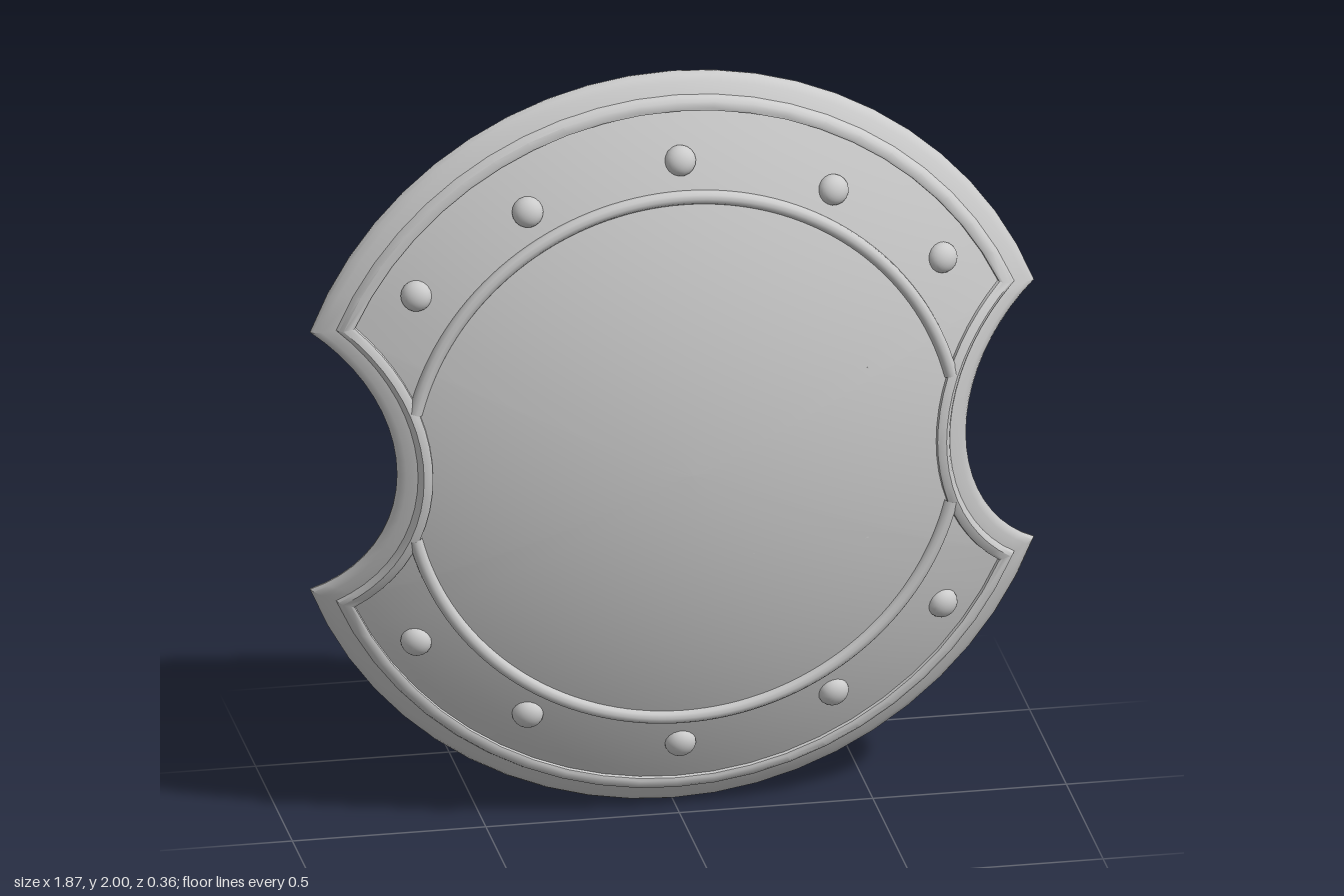
import * as THREE from 'three';
import { toCreasedNormals } from 'three/addons/utils/BufferGeometryUtils.js';

const DOME_R = 2, APEX = 0.18, SHELL = 0.02;
const NOTCH_X = 1.147, NOTCH_R = 0.412;
const mat = new THREE.MeshStandardMaterial({ color: 0xcccccc, roughness: 0.7 });

// height of the domed face at a point
const dome = (x, y) => APEX - DOME_R + Math.sqrt(DOME_R ** 2 - x * x - y * y);

function add(parent, name, geometry) {
  const mesh = new THREE.Mesh(geometry, mat);
  mesh.name = name;
  parent.add(mesh);
  return mesh;
}

// unit disc with a round bite on each side, moved inward by inset (counter-clockwise)
function outline(inset) {
  const R = 1 - inset, r = NOTCH_R + inset;
  const hx = (R * R - r * r + NOTCH_X ** 2) / (2 * NOTCH_X);
  const hy = Math.sqrt(R * R - hx * hx);
  const bite = Math.asin(hy / r), start = Math.atan2(hy, hx);
  const half = [], nBite = 20, nArc = 22;
  for (let i = 0; i < nBite; i++) {
    const a = bite * (2 * i / nBite - 1);
    half.push([NOTCH_X - r * Math.cos(a), r * Math.sin(a)]);
  }
  for (let i = 0; i < nArc; i++) {
    const a = start + (Math.PI - 2 * start) * i / nArc;
    half.push([R * Math.cos(a), R * Math.sin(a)]);
  }
  return [...half, ...half.map(([x, y]) => [-x, -y])];
}

// skin between closed rings of points
function loft(rings) {
  const n = rings[0].length, index = [];
  for (let k = 0; k < rings.length - 1; k++) {
    for (let i = 0; i < n; i++) {
      const j = (i + 1) % n, a = k * n, b = a + n;
      index.push(a + i, a + j, b + i, a + j, b + j, b + i);
    }
  }
  const g = new THREE.BufferGeometry();
  g.setAttribute('position', new THREE.Float32BufferAttribute(rings.flat(2), 3));
  g.setIndex(index);
  g.computeVertexNormals();
  return g;
}

// domed sheet following the outline, offset in z
function sheet(inset, offset, front) {
  const edge = outline(inset), rings = [], steps = 18;
  for (let k = 0; k <= steps; k++) {
    const t = front ? 1 - k / steps : k / steps;
    rings.push(edge.map(([x, y]) => [x * t, y * t, dome(x * t, y * t) + offset]));
  }
  return loft(rings);
}

// domed stud whose base is at the origin, rising along +z
function stud(radius, height) {
  const g = new THREE.SphereGeometry(radius, 18, 8, 0, Math.PI * 2, 0, Math.PI / 2);
  return g.rotateX(Math.PI / 2).scale(1, 1, height / radius);
}

// curved strap with a riveted flange at both ends, standing on the inner face
function strap(name, { x, width, halfY, depth, flangeY, round, rivets, rivetR }) {
  const g = new THREE.Group();
  g.name = name;
  g.position.set(x, 0, dome(x, 0) - SHELL);
  g.rotation.y = Math.asin(x / DOME_R);

  const thick = 0.018, s = new THREE.Shape();
  s.absellipse(0, 0, depth, halfY, -Math.PI / 2, Math.PI / 2, false);
  s.lineTo(0, halfY - thick);
  s.absellipse(0, 0, depth - thick, halfY - thick, Math.PI / 2, -Math.PI / 2, true);
  const bow = new THREE.ExtrudeGeometry(s, { depth: width, bevelEnabled: false, curveSegments: 32 });
  bow.translate(0, 0, -width / 2).rotateY(Math.PI / 2);
  add(g, name + 'Bow', toCreasedNormals(bow, 0.6));

  // flange plate: half ellipse or rounded tab
  const w = width / 2, f = new THREE.Shape();
  f.moveTo(-w, -thick);
  f.lineTo(w, -thick);
  if (round) {
    f.lineTo(w, 0);
    f.absellipse(0, 0, w, flangeY, 0, Math.PI, false);
  } else {
    const c = w * 0.7;
    f.lineTo(w, flangeY - c);
    f.absarc(w - c, flangeY - c, c, 0, Math.PI / 2, false);
    f.absarc(c - w, flangeY - c, c, Math.PI / 2, Math.PI, false);
  }
  const plate = new THREE.ExtrudeGeometry(f, { depth: 0.016, bevelEnabled: false, curveSegments: 20 });
  plate.translate(0, 0, -0.012);

  for (const turn of [0, Math.PI]) {
    const end = new THREE.Group();
    end.name = name + 'End';
    end.rotation.z = turn;
    const flange = new THREE.Group();
    flange.name = name + 'Flange';
    flange.position.set(0, halfY, -(halfY ** 2) / (2 * DOME_R));
    flange.rotation.x = -(halfY + flangeY / 2) / DOME_R;
    add(flange, 'flangePlate', toCreasedNormals(plate, 0.6));
    for (const [rx, ry] of rivets) {
      const m = add(flange, 'flangeRivet', stud(rivetR, rivetR * 0.8));
      m.position.set(rx, ry, -0.011);
      m.rotation.x = Math.PI;
    }
    end.add(flange);
    g.add(end);
  }
  return g;
}

export function createModel() {
  const model = new THREE.Group();
  model.name = 'shield';
  const body = new THREE.Group();
  body.name = 'shieldBody';
  body.position.y = 1;
  model.add(body);

  // domed face and hollow back
  add(body, 'frontFace', sheet(0.06, 0, true));
  add(body, 'backFace', sheet(0.05, -SHELL, false));

  // stepped rim: [inset, offset from dome], from inner back edge round to inner front edge
  const profile = [
    [0.07, -0.018], [0.066, -0.036], [0.055, -0.044], [0.03, -0.046], [0.012, -0.036],
    [0.002, -0.022], [0, -0.012], [0.006, -0.002], [0.02, 0.003], [0.048, 0.004],
    [0.052, 0.014], [0.06, 0.02], [0.076, 0.016], [0.083, 0.011], [0.086, -0.005],
  ];
  const rim = loft(profile.map(([inset, dz]) =>
    outline(inset).map(([x, y]) => [x, y, dome(x, y) + dz])));
  add(body, 'rim', toCreasedNormals(rim, 0.65));

  // raised ring, cut off by the side bites
  const ringR = 0.713, from = 0.245;
  for (const side of [1, -1]) {
    const pts = [];
    for (let i = 0; i <= 40; i++) {
      const a = from + (Math.PI - 2 * from) * i / 40;
      pts.push(new THREE.Vector3(ringR * Math.cos(a), side * ringR * Math.sin(a), dome(ringR, 0) + 0.002));
    }
    add(body, side > 0 ? 'upperRing' : 'lowerRing',
      new THREE.TubeGeometry(new THREE.CatmullRomCurve3(pts), 64, 0.018, 10));
  }

  // front rivets, turned to the dome's normal
  const rivetGeo = stud(0.04, 0.032);
  const up = new THREE.Vector3(0, 0, 1);
  for (const [px, py] of [[0, 0.8], [0.395, 0.69], [0.68, 0.475]]) {
    for (const sx of px ? [1, -1] : [1]) {
      for (const sy of [1, -1]) {
        const x = px * sx, y = py * sy, z = dome(x, y);
        const m = add(body, 'frontRivet', rivetGeo);
        m.position.set(x, y, z);
        m.quaternion.setFromUnitVectors(up, new THREE.Vector3(x, y, z - APEX + DOME_R).normalize());
      }
    }
  }

  // wide arm strap and narrow hand grip
  body.add(strap('armStrap', {
    x: 0.315, width: 0.31, halfY: 0.235, depth: 0.295, flangeY: 0.12, round: true, rivetR: 0.018,
    rivets: [[-0.105, 0.045], [-0.04, 0.085], [0.04, 0.085], [0.105, 0.045], [0, 0.03]],
  }));
  body.add(strap('handGrip', {
    x: -0.315, width: 0.09, halfY: 0.155, depth: 0.215, flangeY: 0.085, round: false, rivetR: 0.015,
    rivets: [[-0.021, 0.045], [0.021, 0.045]],
  }));
  return model;
}
